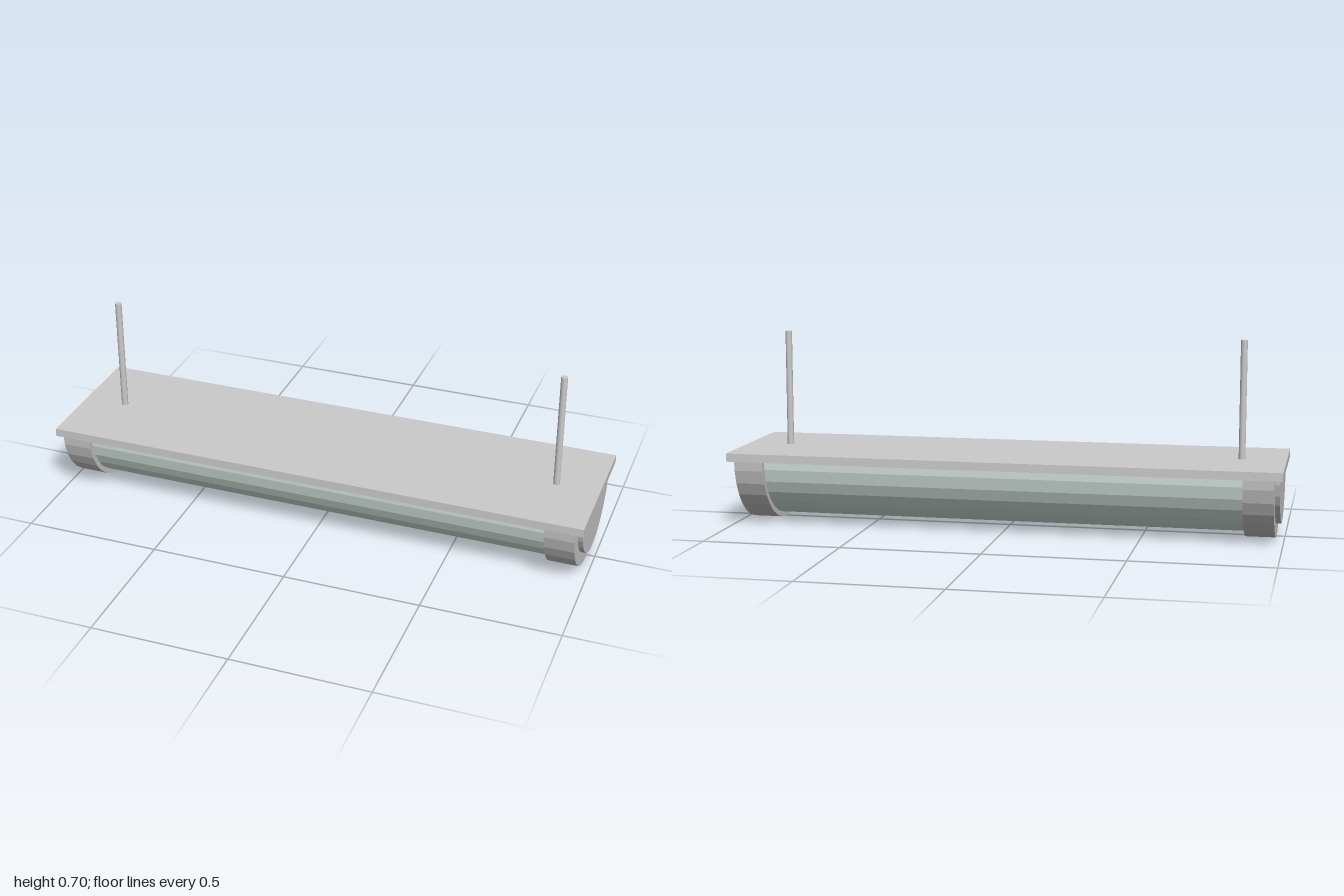
import * as THREE from 'three';

const AXIS_Y = 0.262; // shared axis of all half-round parts, hidden inside the plate

export function createModel() {
  const group = new THREE.Group();
  const grey = new THREE.MeshStandardMaterial({ color: 0xcccccc, flatShading: true });
  const smoothGrey = new THREE.MeshStandardMaterial({ color: 0xcccccc });
  const glass = new THREE.MeshStandardMaterial({ color: 0xdcebe6, flatShading: true });

  function add(name, geometry, material, x, y) {
    const mesh = new THREE.Mesh(geometry, material);
    mesh.name = name;
    mesh.position.set(x, y, 0);
    group.add(mesh);
  }

  // Lower half of a cylinder lying along x, from x0 to x1
  function halfRound(name, radius, x0, x1, material) {
    const geometry = new THREE.CylinderGeometry(radius, radius, x1 - x0, 16, 1, false, 0, Math.PI);
    geometry.rotateZ(-Math.PI / 2);
    add(name, geometry, material, (x0 + x1) / 2, AXIS_Y);
  }

  // Flat mounting plate and the long diffuser beneath it
  add('topPlate', new THREE.BoxGeometry(2, 0.03, 0.525), grey, 0, 0.259);
  halfRound('diffuser', 0.243, -0.9, 0.9, glass);

  // End caps, their raised end discs and the hanging rods
  for (const [side, s] of [['left', 1], ['right', -1]]) {
    const span = (a, b) => (s > 0 ? [a, b] : [-b, -a]);
    halfRound(side + 'EndCap', 0.262, ...span(0.863, 0.97), grey);
    halfRound(side + 'EndDisc', 0.212, ...span(0.96, 0.988), grey);
    add(side + 'HangingRod', new THREE.CylinderGeometry(0.012, 0.012, 0.43, 16), smoothGrey, s * 0.842, 0.484);
  }
  return group;
}
